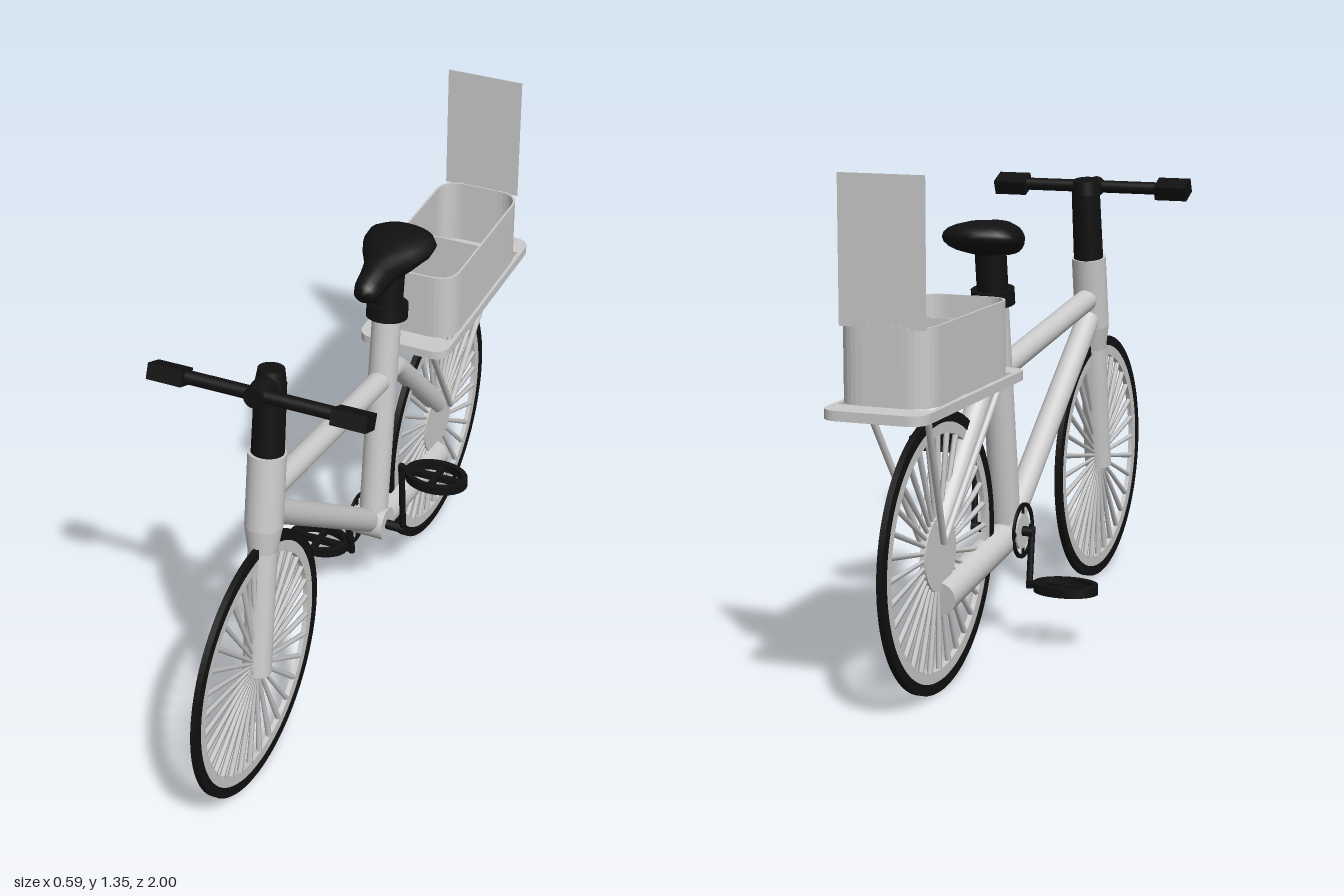
import * as THREE from 'three';

const CX = -0.012; // centre plane of the frame
const grey = new THREE.MeshStandardMaterial({ color: 0xcccccc });
const greyThin = new THREE.MeshStandardMaterial({ color: 0xcccccc, side: THREE.DoubleSide });
const black = new THREE.MeshStandardMaterial({ color: 0x111111 });
const V = (x, y, z) => new THREE.Vector3(x, y, z);

function add(parent, name, geometry, material, x = 0, y = 0, z = 0) {
  const mesh = new THREE.Mesh(geometry, material);
  mesh.name = name;
  mesh.position.set(x, y, z);
  parent.add(mesh);
  return mesh;
}

// Straight round bar from a to b
function bar(parent, name, a, b, r0, r1, material, sides = 24) {
  const dir = b.clone().sub(a);
  const mesh = add(parent, name, new THREE.CylinderGeometry(r1, r0, dir.length(), sides), material);
  mesh.position.copy(a).add(b).multiplyScalar(0.5);
  mesh.quaternion.setFromUnitVectors(V(0, 1, 0), dir.normalize());
  return mesh;
}

// Flat elliptical ring, centred on its own thickness
function ring(rx, ry, wall, depth, segments = 32) {
  const s = new THREE.Shape().absellipse(0, 0, rx, ry, 0, Math.PI * 2);
  s.holes.push(new THREE.Path().absellipse(0, 0, rx - wall, ry - wall, 0, Math.PI * 2));
  return new THREE.ExtrudeGeometry(s, { depth, bevelEnabled: false, curveSegments: segments })
    .translate(0, 0, -depth / 2);
}

// Rounded rectangle outline
function rounded(Type, x0, y0, x1, y1, r) {
  const p = new Type();
  p.moveTo(x0 + r, y0);
  p.lineTo(x1 - r, y0).quadraticCurveTo(x1, y0, x1, y0 + r);
  p.lineTo(x1, y1 - r).quadraticCurveTo(x1, y1, x1 - r, y1);
  p.lineTo(x0 + r, y1).quadraticCurveTo(x0, y1, x0, y1 - r);
  p.lineTo(x0, y0 + r).quadraticCurveTo(x0, y0, x0 + r, y0);
  return p;
}

// Extrude an (x, -z) outline upward
const slab = (shape, depth) => new THREE.ExtrudeGeometry(shape, { depth, bevelEnabled: false, curveSegments: 8 })
  .rotateX(-Math.PI / 2);

function wheel(name, z, hubRadius) {
  const g = new THREE.Group();
  g.name = name;
  g.position.set(CX, 0.362, z);
  add(g, 'tyre', ring(0.362, 0.362, 0.028, 0.016, 48).rotateY(Math.PI / 2), black);
  add(g, 'rim', ring(0.335, 0.335, 0.03, 0.013, 48).rotateY(Math.PI / 2), grey);
  add(g, 'hub', new THREE.CylinderGeometry(hubRadius, hubRadius, 0.016, 32).rotateZ(Math.PI / 2), grey);
  for (let i = 0; i < 32; i++) {
    const a = (i / 32) * Math.PI * 2;
    bar(g, 'spoke', V(0, Math.cos(a) * 0.02, Math.sin(a) * 0.02),
      V(0, Math.cos(a) * 0.31, Math.sin(a) * 0.31), 0.005, 0.008, grey, 6);
  }
  return g;
}

function frame() {
  const g = new THREE.Group();
  g.name = 'frame';
  const P = (y, z) => V(CX, y, z);
  const tubes = [
    ['fork', P(0.335, 0.636), P(0.74, 0.576), 0.039, 0.039],
    ['forkCrown', P(0.70, 0.582), P(0.77, 0.572), 0.039, 0.05],
    ['headTube', P(0.77, 0.572), P(0.975, 0.541), 0.05, 0.05],
    ['topTube', P(0.855, 0.55), P(0.757, -0.19), 0.032, 0.032],
    ['downTube', P(0.81, 0.56), P(0.315, -0.11), 0.034, 0.034],
    ['seatTube', P(0.31, -0.125), P(0.955, -0.217), 0.041, 0.041],
    ['chainStay', P(0.30, -0.11), P(0.24, -0.592), 0.044, 0.044],
  ];
  for (const [name, a, b, r0, r1] of tubes) bar(g, name, a, b, r0, r1, grey);
  add(g, 'bottomBracket', new THREE.CylinderGeometry(0.048, 0.048, 0.094, 24).rotateZ(Math.PI / 2), grey, CX, 0.31, -0.12);

  const stay = new THREE.CurvePath();
  stay.add(new THREE.LineCurve3(P(0.755, -0.19), P(0.755, -0.235)));
  stay.add(new THREE.QuadraticBezierCurve3(P(0.755, -0.235), P(0.755, -0.27), P(0.725, -0.3)));
  stay.add(new THREE.LineCurve3(P(0.725, -0.3), P(0.42, -0.6)));
  add(g, 'seatStay', new THREE.TubeGeometry(stay, 40, 0.031, 20, false), greyThin);
  return g;
}

function steering() {
  const g = new THREE.Group();
  g.name = 'steering';
  bar(g, 'stem', V(CX, 0.965, 0.54), V(CX, 1.165, 0.512), 0.043, 0.041, black);
  bar(g, 'stemCap', V(CX, 1.16, 0.513), V(CX, 1.205, 0.506), 0.041, 0.034, black);
  bar(g, 'stemArm', V(CX, 1.168, 0.52), V(CX, 1.178, 0.61), 0.033, 0.028, black);
  bar(g, 'handlebar', V(-0.25, 1.178, 0.59), V(0.25, 1.178, 0.59), 0.018, 0.018, black);
  for (const x of [-0.25, 0.245]) {
    add(g, 'grip', new THREE.BoxGeometry(0.095, 0.042, 0.06), black, x, 1.177, 0.592).rotation.x = -0.4;
  }
  return g;
}

function seat() {
  const g = new THREE.Group();
  g.name = 'seat';
  bar(g, 'seatClamp', V(CX, 0.945, -0.215), V(CX, 0.985, -0.221), 0.058, 0.058, black);
  bar(g, 'seatPost', V(CX, 0.97, -0.219), V(CX, 1.1, -0.237), 0.042, 0.042, black);
  // Saddle sections: z, half width, bottom, top
  const rows = [
    [-0.048, 0.003, 1.1, 1.104], [-0.055, 0.028, 1.075, 1.125], [-0.08, 0.037, 1.06, 1.14],
    [-0.13, 0.042, 1.062, 1.155], [-0.18, 0.052, 1.068, 1.163], [-0.23, 0.08, 1.075, 1.168],
    [-0.28, 0.099, 1.08, 1.173], [-0.325, 0.1, 1.09, 1.173], [-0.355, 0.078, 1.105, 1.163],
    [-0.369, 0.04, 1.12, 1.15], [-0.372, 0.003, 1.134, 1.137],
  ];
  const n = 20;
  const geo = new THREE.PlaneGeometry(1, 1, n, rows.length - 1);
  const p = geo.attributes.position;
  rows.forEach(([z, w, lo, hi], j) => {
    for (let i = 0; i <= n; i++) {
      const a = (i / n) * Math.PI * 2;
      p.setXYZ(j * (n + 1) + i, CX + w * Math.cos(a), (lo + hi) / 2 + ((hi - lo) / 2) * Math.sin(a), z);
    }
  });
  geo.computeVertexNormals();
  const skin = black.clone();
  skin.side = THREE.DoubleSide;
  add(g, 'saddle', geo, skin);
  return g;
}

function drive() {
  const g = new THREE.Group();
  g.name = 'drive';
  const y = 0.31, z = -0.118;
  bar(g, 'crankAxle', V(-0.09, y, z), V(0.09, y, z), 0.014, 0.014, black, 12);
  add(g, 'chainring', ring(0.076, 0.076, 0.011, 0.006).rotateY(Math.PI / 2), black, -0.056, y, -0.112);
  for (const a of [0, Math.PI / 2]) {
    add(g, 'chainringSpoke', new THREE.BoxGeometry(0.005, 0.14, 0.01), black, -0.056, y, -0.112).rotation.x = a;
  }
  // Each side: sign, pedal height, pedal z
  for (const [s, py, pz] of [[1, 0.533, -0.1], [-1, 0.17, -0.14]]) {
    bar(g, 'crank', V(s * 0.085, y - s * 0.015, z), V(s * 0.085, py + s * 0.012, pz), 0.009, 0.009, black, 10);
    const pedal = new THREE.Group();
    pedal.name = 'pedal';
    pedal.position.set(s * 0.19, py, pz);
    add(pedal, 'pedalRing', ring(0.09, 0.064, 0.015, 0.026).rotateX(Math.PI / 2), black);
    add(pedal, 'pedalAxle', new THREE.BoxGeometry(0.2, 0.018, 0.016), black, -s * 0.012);
    add(pedal, 'pedalBar', new THREE.BoxGeometry(0.014, 0.018, 0.115), black);
    g.add(pedal);
  }
  return g;
}

function carrier() {
  const g = new THREE.Group();
  g.name = 'carrier';
  // Rack plate with a grid of openings
  const plate = rounded(THREE.Shape, -0.145, 0.31, 0.123, 1, 0.05);
  for (let row = 0; row < 3; row++) {
    for (const [x0, x1] of [[-0.132, -0.025], [0.003, 0.11]]) {
      const y0 = 0.385 + row * 0.185;
      plate.holes.push(rounded(THREE.Path, x0, y0, x1, y0 + 0.165, 0.006));
    }
  }
  add(g, 'rack', slab(plate, 0.025), grey, 0, 0.771, 0);
  for (const s of [-1, 1]) {
    for (const z of [-0.345, -0.845]) {
      bar(g, 'rackStrut', V(CX + s * 0.078, 0.78, z), V(CX + s * 0.032, 0.4, -0.635), 0.009, 0.009, grey, 10);
    }
  }
  // Open box with floor, divider and raised lid
  const wall = rounded(THREE.Shape, -0.13, 0.38, 0.114, 0.922, 0.07);
  wall.holes.push(rounded(THREE.Path, -0.124, 0.386, 0.108, 0.916, 0.065));
  add(g, 'boxWall', slab(wall, 0.194), grey, 0, 0.796, 0);
  add(g, 'boxFloor', slab(rounded(THREE.Shape, -0.127, 0.383, 0.111, 0.919, 0.067), 0.006), grey, 0, 0.796, 0);
  add(g, 'boxDivider', new THREE.BoxGeometry(0.236, 0.17, 0.005), grey, -0.008, 0.885, -0.63);
  add(g, 'boxLid', new THREE.PlaneGeometry(0.226, 0.365), greyThin, -0.01, 1.168, -0.92);
  return g;
}

export function createModel() {
  const model = new THREE.Group();
  model.name = 'bicycle';
  model.add(wheel('frontWheel', 0.638, 0.035), wheel('rearWheel', -0.597, 0.1),
    frame(), steering(), seat(), drive(), carrier());
  return model;
}
